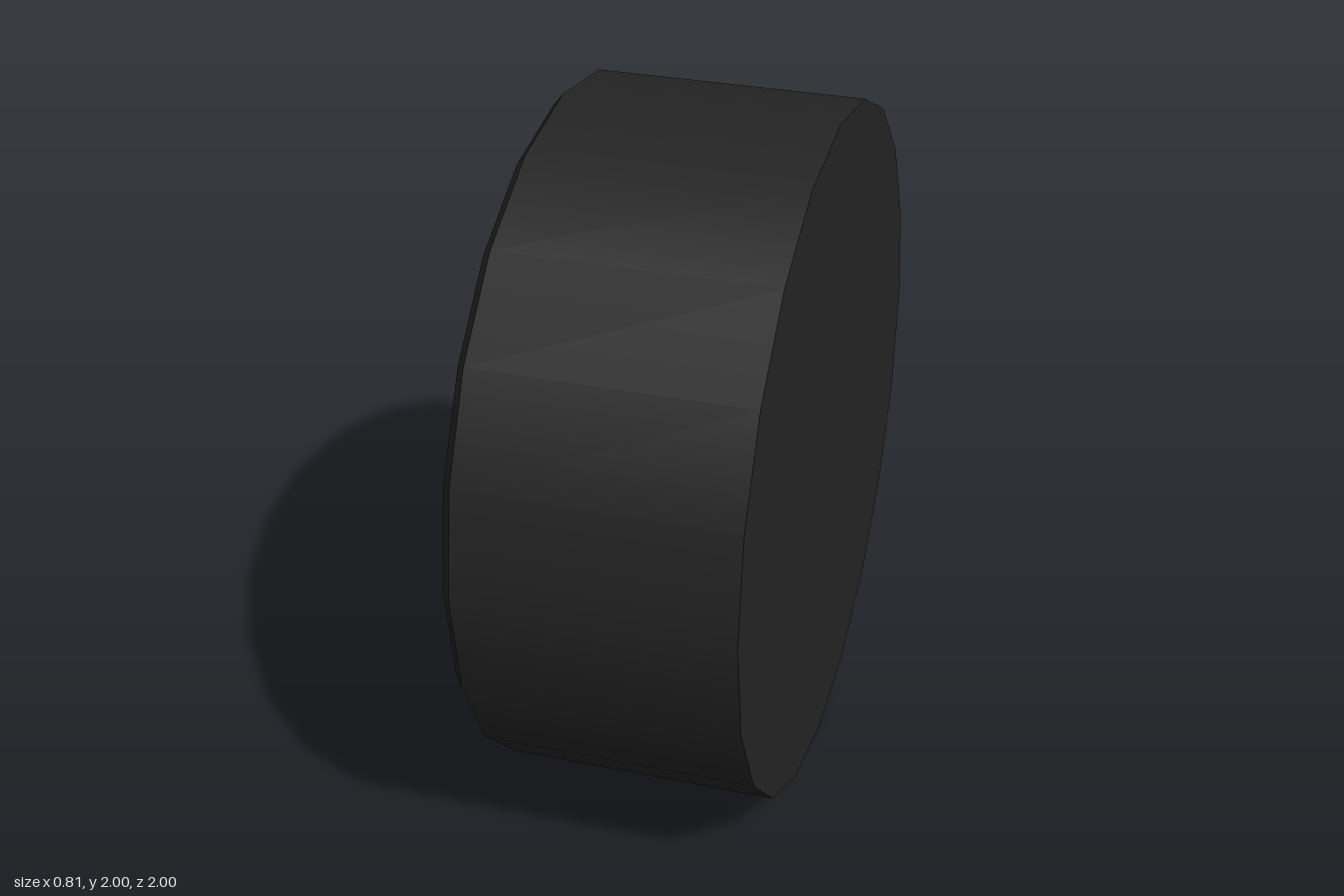
import * as THREE from 'three';

const SIDES = 20;
const mat = (name, color) => {
  const m = new THREE.MeshStandardMaterial({ color });
  m.name = name;
  return m;
};

export function createModel() {
  const rubber = mat('blackRubber', 0x242424);
  const metal = mat('silverMetal', 0xb8b8b8);
  const dark = mat('darkMetal', 0x3a3a3a);

  const model = new THREE.Group();
  model.name = 'wheel';
  // The wheel is built around its own upright axle, then laid on its side
  const wheel = new THREE.Group();
  wheel.name = 'wheelAssembly';
  wheel.rotation.z = Math.PI / 2;
  wheel.position.y = 1;
  model.add(wheel);

  const add = (name, geometry, material) => {
    const mesh = new THREE.Mesh(geometry, material);
    mesh.name = name;
    wheel.add(mesh);
    return mesh;
  };

  // One ring between two [radius, height] points: smooth around, sharp at its edges
  const ring = (name, a, b, material) => add(name, new THREE.LatheGeometry(
    [new THREE.Vector2(...a), new THREE.Vector2(...b)], SIDES), material);

  // Tyre, from the closed inner side to the rim opening
  ring('innerSideCap', [0, -0.405], [1, -0.405], rubber);
  ring('tread', [1, -0.405], [1, 0.365], rubber);
  ring('treadBevel', [1, 0.365], [0.965, 0.393], rubber);
  ring('sidewall', [0.965, 0.393], [0.71, 0.405], rubber);

  // Rim and the dark dish behind the spokes
  ring('rimFlare', [0.71, 0.405], [0.65, 0.25], metal);
  ring('rimLip', [0.65, 0.25], [0.6, 0.24], metal);
  ring('innerDish', [0.6, 0.24], [0, 0.02], dark);

  // Five spokes rising from the sunken hub to the rim
  const side = new THREE.Shape([
    [0.138, 0.235], [0.68, 0.3], [0.685, 0.355], [0.64, 0.395], [0.138, 0.32],
  ].map(p => new THREE.Vector2(...p)));
  const spoke = new THREE.ExtrudeGeometry(side, { depth: 0.2, bevelEnabled: false });
  spoke.translate(0, 0, -0.1);
  for (let i = 0; i < 5; i++) {
    add('spoke', spoke, metal).rotation.y = i * Math.PI * 2 / 5;
  }

  // Five-sided hub recess with a dark cap
  const pentagon = (name, a, b, material) => {
    const g = new THREE.LatheGeometry(
      [new THREE.Vector2(...a), new THREE.Vector2(...b)], 5, Math.PI * 0.7).toNonIndexed();
    g.computeVertexNormals();
    add(name, g, material);
  };
  pentagon('hubRecess', [0.17, 0.32], [0.12, 0.29], metal);
  pentagon('hubCap', [0.12, 0.29], [0, 0.29], rubber);

  return model;
}
